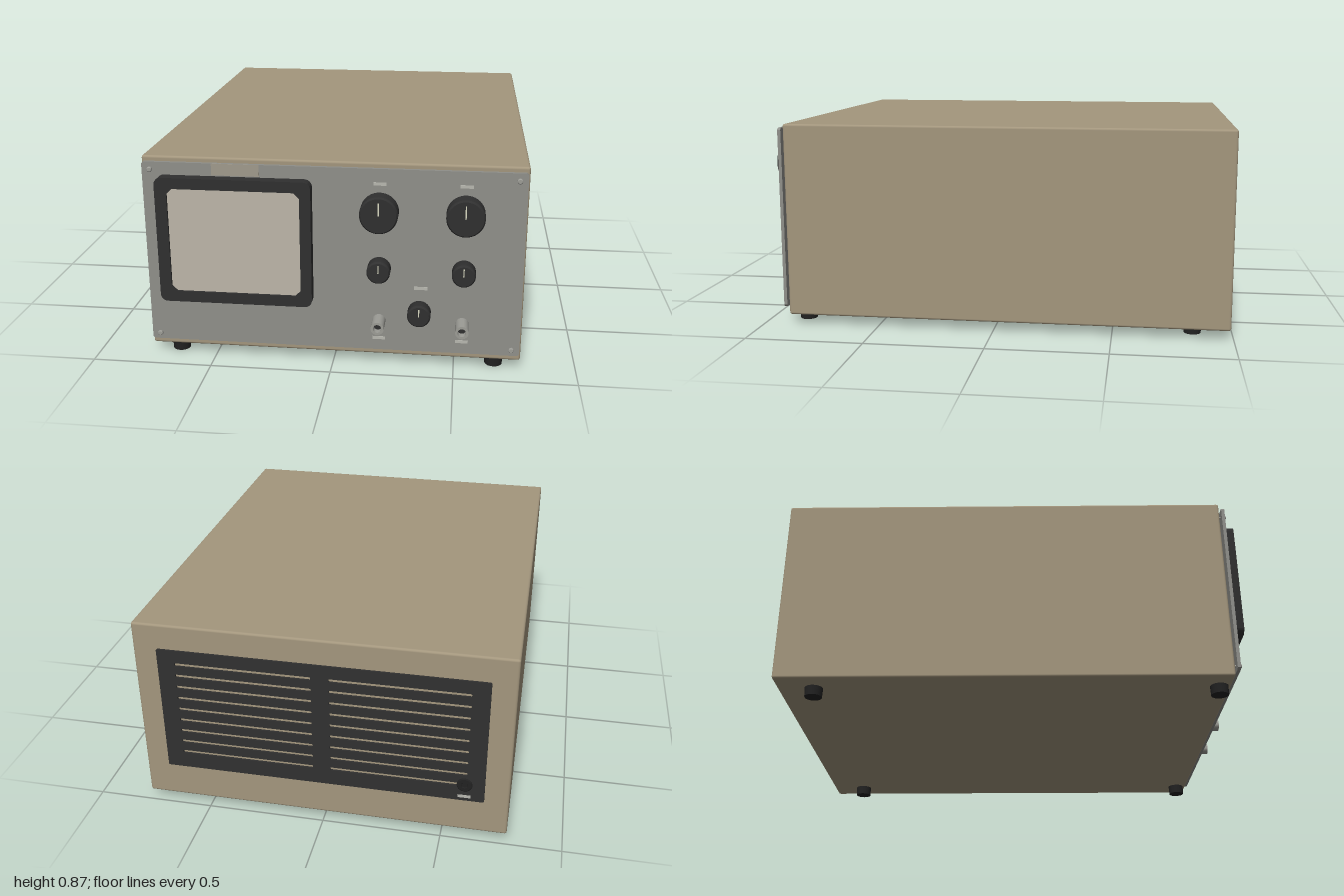
import * as THREE from 'three';
import { toCreasedNormals } from 'three/addons/utils/BufferGeometryUtils.js';
import { RoundedBoxGeometry } from 'three/addons/geometries/RoundedBoxGeometry.js';

const mat = (color) => new THREE.MeshStandardMaterial({ color });
const M = {
  case: mat(0xa3967d), panel: mat(0x8f8f8a), dark: mat(0x303030), rubber: mat(0x222222),
  screen: mat(0xbcb5a8), plate: mat(0xa09a8c), label: mat(0xb8b8b0), pointer: mat(0xd8d8c0), metal: mat(0x9c9c96),
};
const PANEL_Z = 0.917; // front surface of the front panel
const CASE_FRONT = 0.892, CASE_BACK = -0.988;

function add(parent, name, geometry, material, x = 0, y = 0, z = 0) {
  const mesh = new THREE.Mesh(geometry, material);
  mesh.name = name;
  mesh.position.set(x, y, z);
  parent.add(mesh);
  return mesh;
}

// Rectangle outline with chamfered corners
function chamferedRect(x0, x1, y0, y1, c, Type = THREE.Shape) {
  const pts = [[x0 + c, y0], [x1 - c, y0], [x1, y0 + c], [x1, y1 - c], [x1 - c, y1], [x0 + c, y1], [x0, y1 - c], [x0, y0 + c]];
  return new Type(pts.map(([x, y]) => new THREE.Vector2(x, y)));
}

// Rectangle outline with round corners
function roundedRect(x0, x1, y0, y1, r) {
  const s = new THREE.Shape();
  s.absarc(x1 - r, y1 - r, r, 0, Math.PI / 2);
  s.absarc(x0 + r, y1 - r, r, Math.PI / 2, Math.PI);
  s.absarc(x0 + r, y0 + r, r, Math.PI, Math.PI * 1.5);
  s.absarc(x1 - r, y0 + r, r, Math.PI * 1.5, Math.PI * 2);
  return s;
}

const extrude = (shape, depth) => new THREE.ExtrudeGeometry(shape, { depth, bevelEnabled: false, curveSegments: 6 });

// Turned part along +z; profile is a list of [radius, z] from back to front
function turned(profile, segments = 32) {
  const g = new THREE.LatheGeometry(profile.map(([r, z]) => new THREE.Vector2(r, z)), segments);
  return toCreasedNormals(g.rotateX(Math.PI / 2), 0.5);
}

// Control knob with pointer line and scale ticks behind it
function knob(name, x, y, r, height) {
  const g = new THREE.Group();
  g.name = name;
  g.position.set(x, y, PANEL_Z);
  const body = [[r * 0.97, 0], [r, 0.004], [r, height - 0.008], [r - 0.006, height], [0, height]];
  add(g, 'knobBody', turned(body, 40), M.dark);
  const len = r * 0.7;
  add(g, 'knobPointer', new THREE.BoxGeometry(0.005, len, 0.003), M.pointer, 0, len / 2, height);
  return g;
}

// Coaxial input socket: hollow barrel with a dark core
function socket(x, y) {
  const g = new THREE.Group();
  g.name = 'inputSocket';
  g.position.set(x, y, PANEL_Z);
  const h = 1 - PANEL_Z;
  add(g, 'socketBarrel', turned([[0.027, 0], [0.027, h], [0.017, h], [0.017, h - 0.03]], 24), M.metal);
  add(g, 'socketCore', turned([[0.017, h - 0.03], [0, h - 0.03]], 24), M.dark);
  return g;
}

export function createModel() {
  const model = new THREE.Group();
  model.name = 'oscilloscope';

  // Case
  add(model, 'case', new RoundedBoxGeometry(1.544, 0.828, CASE_FRONT - CASE_BACK, 2, 0.01), M.case,
    0, 0.454, (CASE_FRONT + CASE_BACK) / 2);

  // Feet
  for (const x of [-0.665, 0.665]) for (const z of [-0.835, 0.842]) {
    add(model, 'foot', new THREE.CylinderGeometry(0.038, 0.036, 0.042, 20), M.rubber, x, 0.021, z);
  }

  // Front panel and its corner screws, which reach back to the case
  add(model, 'frontPanel', extrude(chamferedRect(-0.765, 0.765, 0.073, 0.85, 0.008), 0.014), M.panel, 0, 0, PANEL_Z - 0.014);
  for (const x of [-0.732, 0.732]) for (const y of [0.099, 0.819]) {
    const back = CASE_FRONT - PANEL_Z;
    add(model, 'panelScrew', turned([[0.005, back], [0.005, 0], [0.011, 0], [0.011, 0.006], [0.008, 0.009], [0, 0.009]], 16),
      M.metal, x, y, PANEL_Z);
  }

  // Screen bezel and screen
  const bezel = roundedRect(-0.705, -0.077, 0.268, 0.798, 0.03);
  bezel.holes.push(chamferedRect(-0.656, -0.122, 0.314, 0.753, 0.022, THREE.Path));
  add(model, 'screenBezel', toCreasedNormals(extrude(bezel, 0.045), 0.5), M.dark, 0, 0, PANEL_Z);
  add(model, 'screen', extrude(chamferedRect(-0.656, -0.122, 0.314, 0.753, 0.022), 0.036), M.screen, 0, 0, PANEL_Z);
  add(model, 'blankPlate', new THREE.BoxGeometry(0.192, 0.048, 0.004), M.plate, -0.384, 0.826, PANEL_Z);

  // Knobs, sockets and blank label strips
  for (const x of [0.192, 0.53]) {
    model.add(knob('largeKnob', x, 0.679, 0.076, 0.07));
    model.add(knob('mediumKnob', x, 0.437, 0.047, 0.063));
    model.add(socket(x, 0.205));
    for (const y of [0.789, 0.126]) {
      add(model, 'labelStrip', new THREE.BoxGeometry(0.052, 0.013, 0.004), M.label, x, y, PANEL_Z);
    }
  }
  model.add(knob('lowerKnob', 0.356, 0.253, 0.047, 0.058));
  add(model, 'labelStrip', new THREE.BoxGeometry(0.054, 0.013, 0.004), M.label, 0.36, 0.354, PANEL_Z);

  // Rear vent panel with two columns of slots
  const vent = chamferedRect(-0.672, 0.672, 0.195, 0.76, 0.004);
  for (const side of [-1, 1]) for (let i = 0; i < 9; i++) {
    const y = 0.697 - i * 0.053;
    const [a, b] = side < 0 ? [-0.6, -0.036] : [0.036, 0.6];
    vent.holes.push(chamferedRect(a, b, y - 0.007, y + 0.007, 0.003, THREE.Path));
  }
  add(model, 'rearVentPanel', extrude(vent, 0.009), M.dark, 0, 0, CASE_BACK - 0.008);

  // Rear cable gland and blank label strip
  const gland = add(model, 'cableGland', turned([[0.032, 0], [0.032, 0.009], [0.028, 0.012], [0.014, 0.012], [0.012, 0.009], [0, 0.009]], 24),
    M.rubber, -0.59, 0.273, CASE_BACK);
  gland.rotation.y = Math.PI;
  add(model, 'rearLabelStrip', new THREE.BoxGeometry(0.052, 0.013, 0.003), M.label, -0.59, 0.216, CASE_BACK - 0.008);

  return model;
}
